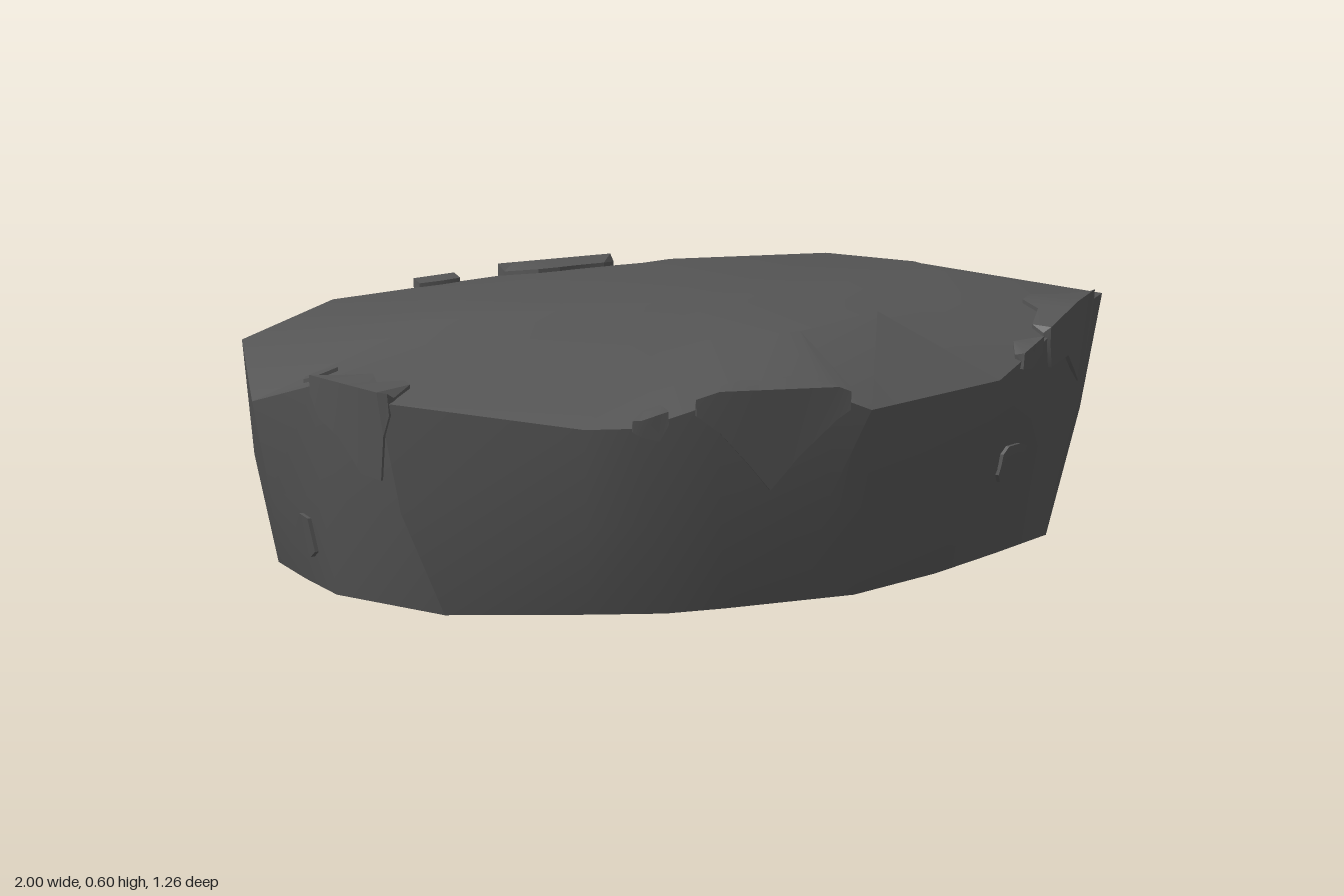
import * as THREE from 'three';
import { toCreasedNormals } from 'three/addons/utils/BufferGeometryUtils.js';

// Outline stations, clockwise from above: rim x, y, z and foot x, z
const STATIONS = [
  [1.0, 0.51, 0.02, 0.87, -0.05], [0.85, 0.52, 0.2, 0.8, 0.155],
  [0.7, 0.5, 0.36, 0.62, 0.27], [0.54, 0.455, 0.48, 0.42, 0.39],
  [0.16, 0.455, 0.62, 0.17, 0.5], [0.08, 0.49, 0.61, 0.05, 0.5],
  [-0.2, 0.5, 0.58, -0.15, 0.5], [-0.38, 0.45, 0.55, -0.29, 0.49],
  [-0.5, 0.45, 0.51, -0.45, 0.43], [-0.9, 0.5, 0.27, -0.75, 0.3],
  [-0.95, 0.49, 0.02, -0.89, 0.02], [-1.0, 0.41, -0.2, -0.89, -0.15],
  [-0.93, 0.5, -0.41, -0.88, -0.32], [-0.62, 0.52, -0.6, -0.65, -0.47],
  [-0.2, 0.53, -0.615, -0.22, -0.54], [0.19, 0.52, -0.63, 0.3, -0.55],
  [0.74, 0.51, -0.43, 0.6, -0.43], [0.98, 0.455, -0.12, 0.86, -0.16],
];
const N = STATIONS.length;

// Each station gives four ring points: foot, belly, rim and crown
const RINGS = STATIONS.map(([x, y, z, bx, bz]) => {
  const foot = new THREE.Vector3(bx, 0, bz);
  const rim = new THREE.Vector3(x, y, z);
  const belly = foot.clone().lerp(rim, 0.66).setY(y * 0.48);
  const crown = new THREE.Vector3(x * 0.6, 0.587 + x * 0.014, z * 0.6);
  return [foot, belly, rim, crown];
});

// Point on the stone: u runs around the stations, v runs up the rings
function surfacePoint(u, v) {
  const i = Math.floor(u), j = Math.min(Math.floor(v), 2);
  const a = RINGS[i % N], b = RINGS[(i + 1) % N];
  const low = a[j].clone().lerp(b[j], u - i);
  const high = a[j + 1].clone().lerp(b[j + 1], u - i);
  return low.lerp(high, v - j);
}

function makeGeometry(points, crease) {
  const geometry = new THREE.BufferGeometry().setFromPoints(points);
  return toCreasedNormals(geometry, crease);
}

// Quad with corners low-left, high-left, high-right, low-right
function quad(out, a, b, c, d) {
  out.push(a, b, d, b, c, d);
}

function stoneGeometry() {
  const points = [];
  const apex = new THREE.Vector3(0, 0.59, 0), base = new THREE.Vector3();
  for (let i = 0; i < N; i++) {
    const a = RINGS[i], b = RINGS[(i + 1) % N];
    for (let j = 0; j < 3; j++) quad(points, a[j], a[j + 1], b[j + 1], b[j]);
    points.push(a[3], apex, b[3], base, a[0], b[0]);
  }
  return makeGeometry(points, 0.5);
}

// Thin flake laid over the stone; columns are [u, lower v, upper v]
function flakeGeometry(columns, lift) {
  const points = [];
  const strips = columns.map(([u, v0, v1]) => {
    const wraps = v0 < 2 && v1 > 2;
    return [v0, wraps ? 2 : (v0 + v1) / 2, v1].map((v, k) => {
      const root = surfacePoint(u, v);
      const out = new THREE.Vector3(root.x, 0, root.z * 2.2).normalize();
      const top = root.clone().addScaledVector(out, v > 2 ? 0 : 0.009);
      if (v >= 2) top.y += wraps && k === 1 ? lift : 0.009;
      return { root, top };
    });
  });
  for (let i = 0; i + 1 < strips.length; i++) {
    const a = strips[i], b = strips[i + 1];
    for (let k = 0; k < 2; k++) quad(points, a[k].top, a[k + 1].top, b[k + 1].top, b[k].top);
    quad(points, a[0].root, a[0].top, b[0].top, b[0].root);
    quad(points, a[2].top, a[2].root, b[2].root, b[2].top);
  }
  const first = strips[0], last = strips[strips.length - 1];
  for (let k = 0; k < 2; k++) {
    quad(points, first[k].root, first[k + 1].root, first[k + 1].top, first[k].top);
    quad(points, last[k].top, last[k + 1].top, last[k + 1].root, last[k].root);
  }
  return makeGeometry(points, 0.5);
}

const FLAKES = {
  rightFlake: [[0.4, 1.9, 2.08], [0.5, 1.4, 2.2], [0.7, 1.36, 2.34], [1, 1.52, 2.34],
    [1.2, 1.68, 2.2], [1.7, 1.7, 2.14], [1.85, 1.95, 2.03]],
  rightChip: [[2.05, 1.93, 2.06], [2.25, 1.85, 2.14], [2.5, 1.93, 2.05]],
  frontFlake: [[4.65, 1.93, 2.03], [5, 1.8, 2.16], [5.3, 1.48, 2.3], [5.55, 1.17, 2.24],
    [5.75, 1.42, 2.28], [6, 1.72, 2.18], [6.3, 1.95, 2.03]],
  frontChip: [[6.65, 1.95, 2.06], [6.78, 1.82, 2.18], [7, 1.92, 2.18], [7.15, 1.97, 2.04]],
  leftFlake: [[8.95, 1.9, 2.04], [9, 1.7, 2.25], [9.15, 1.28, 2.28], [9.4, 1.3, 2.18],
    [9.65, 1.6, 2.26], [9.9, 1.72, 2.16], [10, 1.93, 2.04]],
  backFlake: [[14.0, 1.9, 2.06], [14.1, 1.6, 2.32], [14.25, 1.45, 2.34], [14.4, 1.22, 2.25],
    [14.6, 1.5, 2.27], [14.72, 1.92, 2.06]],
  backChip: [[13.5, 1.93, 2.03], [13.6, 1.82, 2.08], [13.74, 1.94, 2.04]],
  rightLowFlake: [[2.1, 0.85, 1.1], [2.25, 0.78, 1.16], [2.5, 0.85, 1.2], [2.6, 0.95, 1.15]],
  leftLowFlake: [[10.3, 0.4, 0.75], [10.45, 0.33, 0.8], [10.6, 0.45, 0.65]],
  backLowFlake: [[14.7, 0.45, 0.62], [14.8, 0.36, 0.68], [14.92, 0.42, 0.6]],
  topChip: [[10.5, 2.2, 2.34], [10.65, 2.18, 2.36], [10.8, 2.24, 2.3]],
};

export function createModel() {
  const model = new THREE.Group();
  model.name = 'flatRock';
  const stone = new THREE.MeshStandardMaterial({ color: 0x555555 });
  stone.name = 'dark grey stone';

  const add = (name, geometry) => {
    const mesh = new THREE.Mesh(geometry, stone);
    mesh.name = name;
    model.add(mesh);
  };
  add('rockBody', stoneGeometry());

  // Flakes over the rim and on the sides
  for (const [name, columns] of Object.entries(FLAKES)) {
    add(name, flakeGeometry(columns, name.endsWith('Flake') ? 0.026 : 0.02));
  }
  return model;
}
